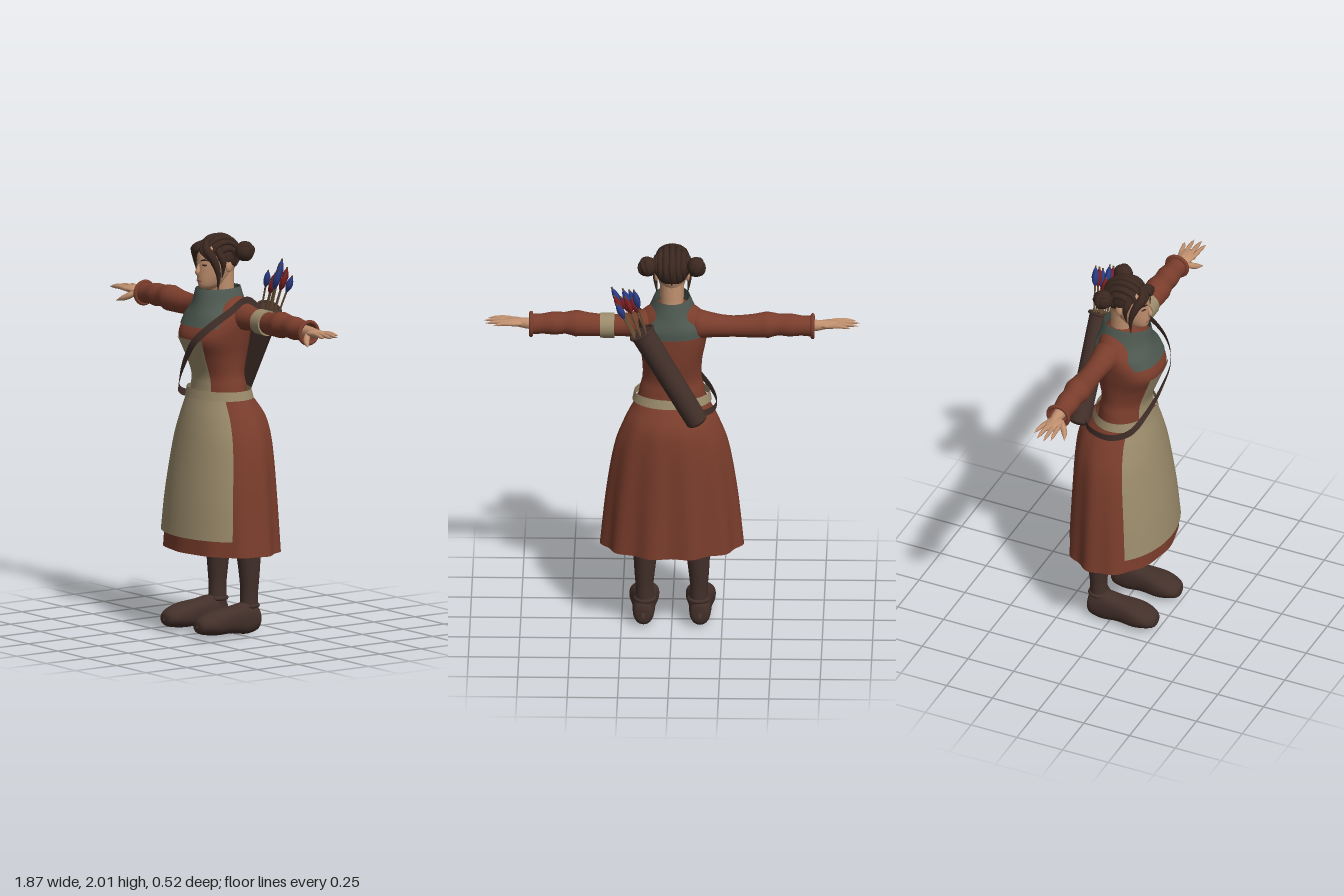
import * as THREE from 'three';
import { mergeVertices } from 'three/addons/utils/BufferGeometryUtils.js';

const V = (x, y, z) => new THREE.Vector3(x, y, z);
const mat = (name, color) => {
  const m = new THREE.MeshStandardMaterial({ color, side: THREE.DoubleSide });
  m.name = name;
  return m;
};

function smooth(geo) {
  geo.deleteAttribute('uv');
  geo.deleteAttribute('normal');
  const g = mergeVertices(geo, 1e-5);
  g.computeVertexNormals();
  return g;
}

// Skin over level oval sections, rising: [y, halfWidth, zFront, zBack, squareness]
function loft(sections, { from = -Math.PI, to = Math.PI, off = 0, ripple = 0, segs = 56, rows = 28 } = {}) {
  const a = new THREE.CatmullRomCurve3(sections.map(s => V(s[0], s[1], s[4] ?? 2)), false, 'catmullrom');
  const b = new THREE.CatmullRomCurve3(sections.map(s => V(s[2], s[3], 0)), false, 'catmullrom');
  const pos = [], idx = [];
  const pow = (v, n) => Math.sign(v) * Math.abs(v) ** (2 / n);
  for (let i = 0; i <= rows; i++) {
    const t = i / rows, p = a.getPoint(t), q = b.getPoint(t);
    for (let j = 0; j <= segs; j++) {
      const th = from + (to - from) * j / segs;
      const w = off + ripple * (1 - t) ** 2 * (0.6 - 0.4 * Math.cos(th)) * Math.cos(11 * th);
      pos.push((p.y + w) * pow(Math.sin(th), p.z), p.x,
        (q.x + q.y) / 2 + ((q.x - q.y) / 2 + w) * pow(Math.cos(th), p.z));
      if (i < rows && j < segs) {
        const k = i * (segs + 1) + j, u = k + segs + 1;
        idx.push(k, k + 1, u + 1, k, u + 1, u);
      }
    }
  }
  const g = new THREE.BufferGeometry();
  g.setAttribute('position', new THREE.Float32BufferAttribute(pos, 3));
  g.setIndex(idx);
  return smooth(g);
}

// Round limb along a curve whose radius changes
function sweep(points, radii, n = 24, sides = 14) {
  const curve = new THREE.CatmullRomCurve3(points.map(p => V(...p)));
  const g = new THREE.TubeGeometry(curve, n, 1, sides);
  const pos = g.attributes.position, v = V(0, 0, 0);
  for (let i = 0; i <= n; i++) {
    const c = curve.getPointAt(i / n), f = i / n * (radii.length - 1);
    const k = Math.min(Math.floor(f), radii.length - 2);
    const r = THREE.MathUtils.lerp(radii[k], radii[k + 1], f - k);
    for (let j = 0; j <= sides; j++) {
      const m = i * (sides + 1) + j;
      v.fromBufferAttribute(pos, m).sub(c).multiplyScalar(r).add(c);
      pos.setXYZ(m, v.x, v.y, v.z);
    }
  }
  return smooth(g);
}

// Flat strap lying around the body axis
function ribbon(points, width, n = 60) {
  const curve = new THREE.CatmullRomCurve3(points.map(p => V(...p)));
  const pos = [], idx = [];
  for (let i = 0; i <= n; i++) {
    const p = curve.getPointAt(i / n);
    const side = curve.getTangentAt(i / n).cross(V(p.x, 0, p.z)).normalize().multiplyScalar(width / 2);
    pos.push(...p.clone().add(side).toArray(), ...p.clone().sub(side).toArray());
    if (i < n) idx.push(2 * i, 2 * i + 1, 2 * i + 2, 2 * i + 1, 2 * i + 3, 2 * i + 2);
  }
  const g = new THREE.BufferGeometry();
  g.setAttribute('position', new THREE.Float32BufferAttribute(pos, 3));
  g.setIndex(idx);
  g.computeVertexNormals();
  return g;
}

export function createModel() {
  const model = new THREE.Group();
  const dress = mat('rust cloth', 0x7a3d2c), linen = mat('tan linen', 0x9c8c6c), leather = mat('dark leather', 0x43302a),
    hair = mat('brown hair', 0x3b2820), wool = mat('grey green wool', 0x4d5850), skin = mat('skin', 0xc0906f),
    blue = mat('blue feather', 0x2c3d86), red = mat('red feather', 0x7c2024), wood = mat('arrow wood', 0x6d5236),
    lip = mat('lip', 0x96604c);
  const add = (name, geo, m, x = 0, y = 0, z = 0) => {
    const mesh = new THREE.Mesh(geo, m);
    mesh.name = name;
    mesh.position.set(x, y, z);
    model.add(mesh);
    return mesh;
  };
  const ball = (rx, ry, rz) => new THREE.SphereGeometry(1, 24, 16).scale(rx, ry, rz);

  // Dress and apron
  const skirt = [[0.7, 0.325, 0.235, -0.235], [0.95, 0.285, 0.2, -0.225], [1.08, 0.238, 0.178, -0.208],
    [1.16, 0.195, 0.16, -0.16], [1.2, 0.175, 0.15, -0.125]];
  add('skirt', loft([[0.42, 0.353, 0.252, -0.243], ...skirt], { ripple: 0.012, segs: 96 }), dress);
  add('apron', loft([[0.5, 0.343, 0.255, -0.243], ...skirt], { from: -1, to: 1, off: 0.012 }), linen);
  const waist = [[1.18, 0.172, 0.145, -0.115], [1.25, 0.16, 0.138, -0.105], [1.31, 0.146, 0.142, -0.1],
    [1.4, 0.15, 0.175, -0.115, 2.2], [1.49, 0.168, 0.21, -0.12, 2.5]];
  add('bodice', loft([...waist, [1.57, 0.178, 0.175, -0.12, 2.4], [1.64, 0.165, 0.12, -0.11],
    [1.69, 0.11, 0.08, -0.09], [1.72, 0.05, 0.05, -0.06]], { rows: 40 }), dress);
  add('apronBib', loft(waist, { from: -0.54, to: 0.54, off: 0.006, segs: 20 }), linen);
  add('belt', loft([[1.185, 0.197, 0.168, -0.14], [1.23, 0.187, 0.16, -0.128]], { rows: 2 }), linen);
  add('collar', loft([[1.553, 0.172, 0.2, -0.135, 2.4], [1.6, 0.164, 0.18, -0.135, 2.3],
    [1.66, 0.122, 0.158, -0.12], [1.735, 0.088, 0.145, -0.1]]), wool);

  // Arms, hands, legs and feet
  for (const s of [1, -1]) {
    const side = s > 0 ? 'left' : 'right';
    add(side + 'Sleeve', sweep([[0.08, 1.605, -0.02], [0.17, 1.6, -0.025], [0.28, 1.595, -0.03], [0.4, 1.597, -0.03],
      [0.5, 1.605, -0.03], [0.58, 1.603, -0.03], [0.7, 1.597, -0.03]].map(([x, y, z]) => [x * s, y, z]),
    [0.055, 0.074, 0.063, 0.056, 0.053, 0.056, 0.06, 0.066, 0.054, 0.058, 0.05, 0.052], 44, 20), dress);
    add(side + 'Cuff', new THREE.TorusGeometry(0.055, 0.01, 10, 28).rotateY(Math.PI / 2), dress, s * 0.698, 1.597, -0.03);
    add(side + 'Wrist', sweep([[s * 0.66, 1.6, -0.03], [s * 0.72, 1.602, -0.03], [s * 0.78, 1.606, -0.025]], [0.032, 0.028, 0.02]), skin);
    add(side + 'Palm', ball(0.064, 0.019, 0.043), skin, s * 0.78, 1.605, -0.02);
    [[-0.052, -0.075, 0.885], [-0.03, -0.042, 0.925], [-0.006, -0.004, 0.933], [0.015, 0.028, 0.91]].forEach(([z0, z1, x], i) =>
      add(`${side}Finger${i + 1}`, sweep([[s * 0.78, 1.605, z0], [s * 0.84, 1.61, (z0 + z1) / 2], [s * x, 1.604, z1]],
        [0.011, 0.012, 0.011, 0.009, 0.001], 12, 8), skin));
    add(side + 'Thumb', sweep([[s * 0.73, 1.595, 0], [s * 0.77, 1.57, 0.035], [s * 0.815, 1.55, 0.058]],
      [0.014, 0.017, 0.013, 0.001], 12, 8), skin);
    add(side + 'Leg', sweep([[s * 0.12, 0.75, -0.05], [s * 0.13, 0.42, -0.07], [s * 0.135, 0.25, -0.072], [s * 0.132, 0.08, -0.068]],
      [0.08, 0.076, 0.07, 0.056, 0.044, 0.046], 28, 20), leather);
    const foot = loft([[-0.122, 0.008, -0.05, -0.1], [-0.108, 0.046, -0.015, -0.135], [-0.04, 0.055, 0, -0.158, 2.4],
      [0.05, 0.06, -0.012, -0.146, 2.4], [0.14, 0.074, -0.012, -0.135, 2.4], [0.205, 0.068, -0.018, -0.118],
      [0.243, 0.042, -0.03, -0.095], [0.252, 0.006, -0.055, -0.068]], { segs: 28 }).rotateX(Math.PI / 2);
    add(side + 'Foot', foot, leather, s * 0.14);
    add(side + 'AnkleFold', new THREE.TorusGeometry(0.046, 0.011, 8, 24).rotateX(Math.PI / 2), leather, s * 0.133, 0.14, -0.068);
  }
  add('armband', new THREE.CylinderGeometry(0.063, 0.063, 0.07, 28).rotateZ(Math.PI / 2), linen, 0.32, 1.594, -0.03);

  // Head and face
  add('neck', sweep([[0, 1.62, -0.01], [0, 1.72, -0.005], [0, 1.83, 0]], [0.062, 0.058, 0.06]), skin);
  add('head', loft([[1.73, 0.015, 0.11, 0.05], [1.745, 0.038, 0.133, 0.01], [1.78, 0.057, 0.14, -0.04],
    [1.83, 0.071, 0.14, -0.07], [1.88, 0.077, 0.139, -0.08], [1.93, 0.074, 0.128, -0.08],
    [1.965, 0.05, 0.09, -0.05], [1.98, 0.008, 0.04, 0]], { segs: 36 }), skin);
  add('nose', sweep([[0, 1.865, 0.134], [0, 1.83, 0.145], [0, 1.812, 0.148], [0, 1.803, 0.136]], [0.004, 0.009, 0.013, 0.004], 12, 10), skin);
  add('mouth', ball(0.022, 0.006, 0.006), lip, 0, 1.777, 0.137);
  for (const s of [1, -1]) {
    const eye = add('eye', ball(0.015, 0.005, 0.004), hair, s * 0.033, 1.857, 0.129);
    eye.rotation.y = s * 0.45;
    add('eyebrow', sweep([[s * 0.014, 1.877, 0.138], [s * 0.035, 1.884, 0.131], [s * 0.056, 1.878, 0.112]], [0.003, 0.005, 0.001], 10, 6), hair);
    add('ear', ball(0.01, 0.028, 0.018), skin, s * 0.078, 1.845, 0.012);
  }

  // Hair: cap, combed strands, side locks and two buns
  add('hairCap', new THREE.SphereGeometry(1, 32, 20, 0, Math.PI * 2, 0, Math.PI * 0.56).rotateX(-0.55).scale(0.086, 0.1, 0.11), hair, 0, 1.89, 0.02);
  for (let k = -3; k <= 3; k++) {
    const phi = k * 0.37, pts = [];
    for (let a = 1.15; a > -2.25; a -= 0.42)
      pts.push([0.086 * Math.sin(phi), 1.89 + 0.1 * Math.cos(phi) * Math.cos(a), 0.02 + 0.11 * Math.cos(phi) * Math.sin(a)]);
    add('hairStrand', sweep(pts, [0.008, 0.016, 0.014, 0.015, 0.004], 24, 8), hair);
  }
  for (const s of [1, -1]) {
    const lock = (pts, radii) => add('hairLock', sweep(pts.map(([x, y, z]) => [s * x, y, z]), radii, 20, 8), hair);
    lock([[0.005, 1.97, 0.1], [0.045, 1.935, 0.125], [0.075, 1.88, 0.1], [0.084, 1.81, 0.08], [0.077, 1.73, 0.078]], [0.012, 0.024, 0.02, 0.011, 0.002]);
    lock([[0.004, 1.965, 0.105], [0.022, 1.93, 0.132], [0.05, 1.905, 0.126], [0.07, 1.87, 0.108]], [0.012, 0.018, 0.015, 0.003]);
    lock([[0.06, 1.93, 0.07], [0.086, 1.88, 0.055], [0.083, 1.83, 0.05], [0.078, 1.79, 0.055]], [0.018, 0.02, 0.01, 0.002]);
    add('bun', ball(0.042, 0.05, 0.048), hair, s * 0.12, 1.922, -0.055);
    for (let k = 0; k < 3; k++) {
      const wrap = add('bunWrap', new THREE.TorusGeometry(0.037, 0.014, 8, 24), hair, s * 0.122, 1.922, -0.055);
      wrap.rotation.set(k * 1.05, s * (0.4 + k * 0.5), 0);
    }
  }

  // Quiver with its strap
  const low = V(-0.125, 1.15, -0.182), top = V(0.145, 1.62, -0.185), axis = top.clone().sub(low);
  const turn = new THREE.Quaternion().setFromUnitVectors(V(0, 1, 0), axis.clone().normalize());
  const place = (mesh, p) => { mesh.position.copy(p); mesh.quaternion.copy(turn); };
  place(add('quiver', new THREE.CylinderGeometry(0.06, 0.055, axis.length(), 28), leather), low.clone().lerp(top, 0.5));
  place(add('quiverBase', ball(0.055, 0.025, 0.055), leather), low);
  place(add('quiverRim', new THREE.TorusGeometry(0.061, 0.008, 8, 28).rotateX(Math.PI / 2), leather), top);
  add('strap', ribbon([[-0.1, 1.17, -0.17], [-0.19, 1.165, -0.1], [-0.222, 1.165, 0.02], [-0.19, 1.2, 0.12], [-0.11, 1.28, 0.175],
    [0, 1.4, 0.215], [0.08, 1.49, 0.222], [0.145, 1.565, 0.175], [0.18, 1.635, 0.08], [0.17, 1.685, -0.03], [0.15, 1.62, -0.135]], 0.036), leather);

  // Arrows fanning out of the quiver
  for (let i = 0; i < 9; i++) {
    const u = (i % 3) - 1, w = Math.floor(i / 3) - 1, h = 1.84 - 0.02 * ((i * 5) % 4) - 0.015 * u;
    const a = V(0.14 + 0.025 * u, 1.58 - 0.012 * u, -0.185 + 0.03 * w), b = V(0.235 + 0.042 * u + 0.012 * w, h, -0.185 + 0.05 * w);
    const at = t => a.clone().lerp(b, t).toArray();
    add('arrowShaft', sweep([at(0), at(0.5), at(1.07)], [0.005, 0.005, 0.005], 4, 6), wood);
    add('fletching', sweep([at(0.66), at(0.8), at(1.06)], [0.003, 0.016, 0.019, 0.014, 0.002], 10, 5), i % 2 ? red : blue);
  }
  return model;
}
